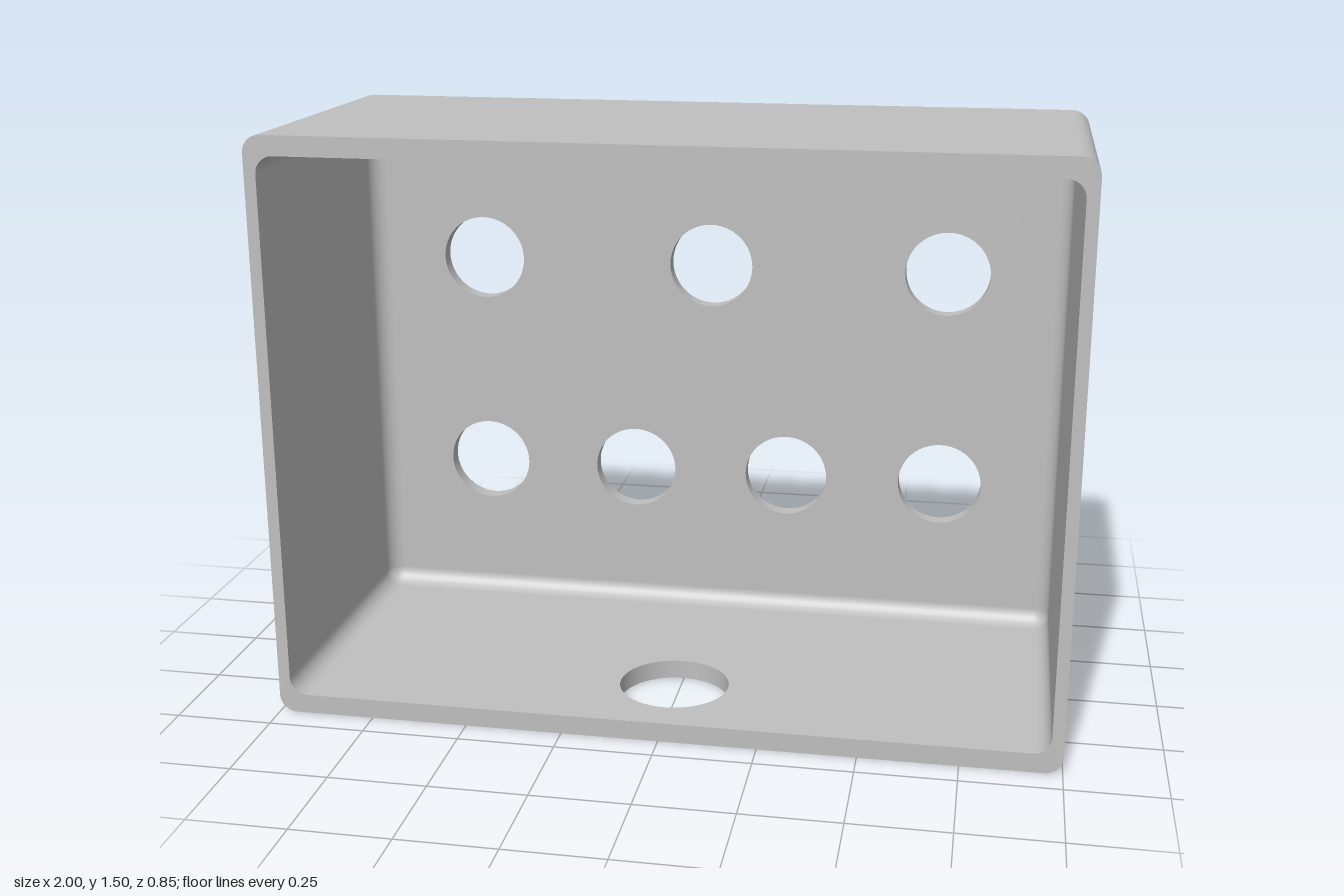
import * as THREE from 'three';

const FRONT = 0.425, ARC = 8, SEG = 48;
const outer = { hw: 1, y0: 0, y1: 1.5, back: -0.425, r: 0.045 };
const inner = { hw: 0.97, y0: 0.05, y1: 1.45, back: -0.38, r: 0.045 };
const HOLE_R = 0.115;
const backHoles = [
  ...[-0.65, 0, 0.65].map(x => [x, 1.05, HOLE_R]),
  ...[-0.65, -0.217, 0.217, 0.65].map(x => [x, 0.45, HOLE_R]),
];
const floorHole = { z: 0.19, r: 0.143 };

// Rounded-rectangle loop: points with their outward angle
function ring({ hw, y0, y1, r }, s = r) {
  const pts = [];
  for (let c = 0; c < 4; c++) {
    const cx = (c === 0 || c === 3 ? 1 : -1) * (hw - r);
    const cy = c < 2 ? y1 - r : y0 + r;
    for (let i = 0; i <= ARC; i++) {
      const a = (c + i / ARC) * Math.PI / 2;
      pts.push({ x: cx + s * Math.cos(a), y: cy + s * Math.sin(a), a });
    }
  }
  return pts;
}

// Side walls plus filleted back edges, open at the bottom panel and the back panel
function wallGeometry(box, inward) {
  const pos = [], nor = [], idx = [], sign = inward ? -1 : 1;
  const addRow = (z, t) => ring(box, box.r * Math.cos(t)).forEach(p => {
    pos.push(p.x, p.y, z);
    nor.push(sign * Math.cos(p.a) * Math.cos(t), sign * Math.sin(p.a) * Math.cos(t), -sign * Math.sin(t));
  });
  addRow(FRONT, 0);
  for (let k = 0; k <= ARC; k++) {
    const t = k / ARC * Math.PI / 2;
    addRow(box.back + box.r - box.r * Math.sin(t), t);
  }
  const n = 4 * (ARC + 1), bottomColumn = 3 * (ARC + 1) - 1;
  for (let i = 0; i <= ARC; i++) {
    for (let j = 0; j < n; j++) {
      if (i === 0 && j === bottomColumn) continue;
      const a = i * n + j, b = i * n + (j + 1) % n, c = a + n, d = b + n;
      if (inward) idx.push(a, b, c, b, d, c);
      else idx.push(a, c, b, b, c, d);
    }
  }
  const g = new THREE.BufferGeometry();
  g.setAttribute('position', new THREE.Float32BufferAttribute(pos, 3));
  g.setAttribute('normal', new THREE.Float32BufferAttribute(nor, 3));
  g.setIndex(idx);
  return g;
}

// Flat rectangle pierced by round holes [x, y, radius]
function plate(hw, y0, y1, holes) {
  const s = new THREE.Shape([[-hw, y0], [hw, y0], [hw, y1], [-hw, y1]].map(p => new THREE.Vector2(...p)));
  holes.forEach(([x, y, r]) => s.holes.push(new THREE.Path().absarc(x, y, r, 0, Math.PI * 2, true)));
  return new THREE.ShapeGeometry(s, SEG / 2);
}

export function createModel() {
  const group = new THREE.Group();
  const grey = new THREE.MeshStandardMaterial({ name: 'grey', color: 0xbfbfbf, side: THREE.DoubleSide });
  const add = (name, geometry) => {
    const m = new THREE.Mesh(geometry, grey);
    m.name = name;
    group.add(m);
  };

  // Walls
  add('outerWalls', wallGeometry(outer, false));
  add('innerWalls', wallGeometry(inner, true));

  // Back panel, both faces
  const backPlate = b => plate(b.hw - b.r, b.y0 + b.r, b.y1 - b.r, backHoles);
  add('backOutside', backPlate(outer).rotateY(Math.PI).translate(0, 0, outer.back));
  add('backInside', backPlate(inner).translate(0, 0, inner.back));

  // Bottom panel, both faces
  add('bottomOutside', plate(outer.hw - outer.r, outer.back + outer.r, FRONT, [[0, floorHole.z, floorHole.r]])
    .rotateX(Math.PI / 2).translate(0, outer.y0, 0));
  add('bottomInside', plate(inner.hw - inner.r, -FRONT, -inner.back - inner.r, [[0, -floorHole.z, floorHole.r]])
    .rotateX(-Math.PI / 2).translate(0, inner.y0, 0));

  // Flat front rim
  const rim = new THREE.Shape(ring(outer).map(p => new THREE.Vector2(p.x, p.y)));
  rim.holes.push(new THREE.Path(ring(inner).map(p => new THREE.Vector2(p.x, p.y))));
  add('frontRim', new THREE.ShapeGeometry(rim).translate(0, 0, FRONT));

  // Bores through the back and the bottom
  const bore = (r, depth) => new THREE.CylinderGeometry(r, r, depth, SEG, 1, true);
  backHoles.forEach(([x, y, r]) => add('backHole',
    bore(r, inner.back - outer.back).rotateX(Math.PI / 2).translate(x, y, (inner.back + outer.back) / 2)));
  add('bottomHole', bore(floorHole.r, inner.y0).translate(0, inner.y0 / 2, floorHole.z));

  return group;
}
